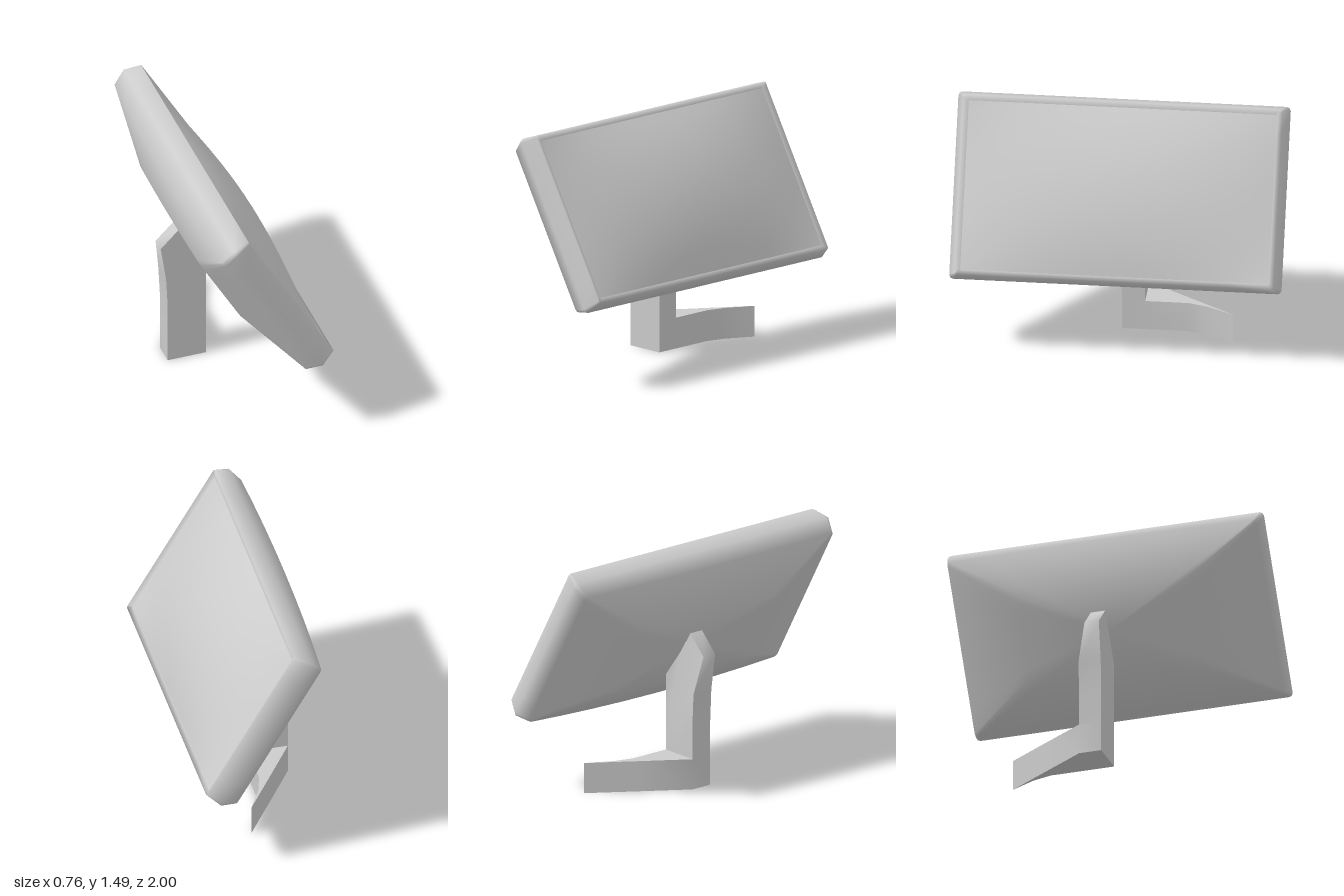
import * as THREE from 'three';
import { toCreasedNormals } from 'three/addons/utils/BufferGeometryUtils.js';

const grey = () => new THREE.MeshStandardMaterial({ color: 0xcccccc, side: THREE.DoubleSide });

// Rounded rectangle in the y/z plane, counter-clockwise seen from +x.
// Long edges are subdivided so that a ring can bow forward and inward at its ends.
function ring(x, hy, hz, r, bow = 0) {
  const pts = [];
  const corners = [[1, 1, 0], [-1, 1, 1], [-1, -1, 2], [1, -1, 3]];
  corners.forEach(([sy, sz, q], k) => {
    for (let i = 0; i <= 2; i++) {
      const a = (q + i / 2) * Math.PI / 2;
      pts.push([sy * (hy - r) + r * Math.cos(a), sz * (hz - r) + r * Math.sin(a)]);
    }
    const [ny, nz, nq] = corners[(k + 1) % 4];
    const a = nq * Math.PI / 2;
    const end = [ny * (hy - r) + r * Math.cos(a), nz * (hz - r) + r * Math.sin(a)];
    const start = pts[pts.length - 1];
    for (let i = 1; i < 8; i++) {
      const t = i / 8;
      pts.push([start[0] + (end[0] - start[0]) * t, start[1] + (end[1] - start[1]) * t]);
    }
  });
  return pts.map(([y, z]) => [x + bow * z * z, y * (1 - bow * z * z), z]);
}

// Skin through equal-length rings, ordered from back to front
function loft(rings) {
  const n = rings[0].length, index = [];
  for (let i = 0; i < rings.length - 1; i++) {
    for (let j = 0; j < n; j++) {
      const a = i * n + j, b = i * n + (j + 1) % n;
      index.push(a, b, a + n, b, b + n, a + n);
    }
  }
  const g = new THREE.BufferGeometry();
  g.setAttribute('position', new THREE.Float32BufferAttribute(rings.flat(2), 3));
  g.setIndex(index);
  g.computeVertexNormals();
  return g;
}

function extrude(points, depth) {
  const shape = new THREE.Shape(points.map(([x, y]) => new THREE.Vector2(x, y)));
  return new THREE.ExtrudeGeometry(shape, { depth, bevelEnabled: false });
}

export function createModel() {
  const model = new THREE.Group();
  const add = (parent, name, geometry) => {
    const mesh = new THREE.Mesh(geometry, grey());
    mesh.name = name;
    parent.add(mesh);
  };

  // Tilted mirror head
  const head = new THREE.Group();
  head.name = 'mirrorHead';
  head.position.set(0.105, 1.022, 0);
  head.rotation.z = Math.PI / 6;
  model.add(head);

  // Housing: back panel, sloping shoulders that bow at the ends, rim and front lip
  add(head, 'housing', loft([
    ring(-0.348, 0, 0, 0),
    ring(-0.348, 0.27, 0.55, 0.05, 0.02),
    ring(-0.22, 0.54, 0.975, 0.02, 0.025),
    ring(-0.1, 0.562, 1.0, 0.025),
    ring(0.003, 0.541, 0.96, 0.012),
    ring(-0.012, 0.505, 0.925, 0.01),
  ]));

  // Convex mirror glass, domed both ways and set slightly into the rim
  const hy = 0.508, hz = 0.928;
  const glass = new THREE.PlaneGeometry(2 * hz, 2 * hy, 24, 16);
  glass.rotateY(Math.PI / 2);
  const gp = glass.attributes.position;
  for (let i = 0; i < gp.count; i++) {
    const v = gp.getY(i) / hy, w = gp.getZ(i) / hz;
    gp.setX(i, 0.086 * (1 - v * v) * (1 - w * w) - 0.01);
  }
  glass.computeVertexNormals();
  add(head, 'mirrorGlass', glass);

  // Upright stalk, slimmer where it enters the housing
  const stalk = extrude([
    [-0.335, 0.19], [-0.09, 0.19], [-0.09, 0.4], [-0.09, 0.6], [-0.09, 0.72], [-0.2, 0.92],
    [-0.26, 0.955], [-0.38, 0.835], [-0.345, 0.6], [-0.335, 0.4],
  ], 0.14);
  stalk.translate(0, 0, -0.14);
  const p = stalk.attributes.position;
  for (let i = 0; i < p.count; i++) {
    if (p.getY(i) > 0.8) p.setZ(i, p.getZ(i) * 0.65);
  }
  add(model, 'stalk', toCreasedNormals(stalk, 1.2));

  // Mounting foot, tapering to a thin edge at the back
  const foot = extrude([
    [-0.335, 0], [-0.09, 0], [-0.09, 0.4], [-0.055, 0.52],
    [0.03, 0.68], [-0.16, 0.4], [-0.335, 0.14],
  ], 0.19);
  foot.rotateX(-Math.PI / 2);
  add(model, 'mountingFoot', toCreasedNormals(foot, 1.2));

  return model;
}
